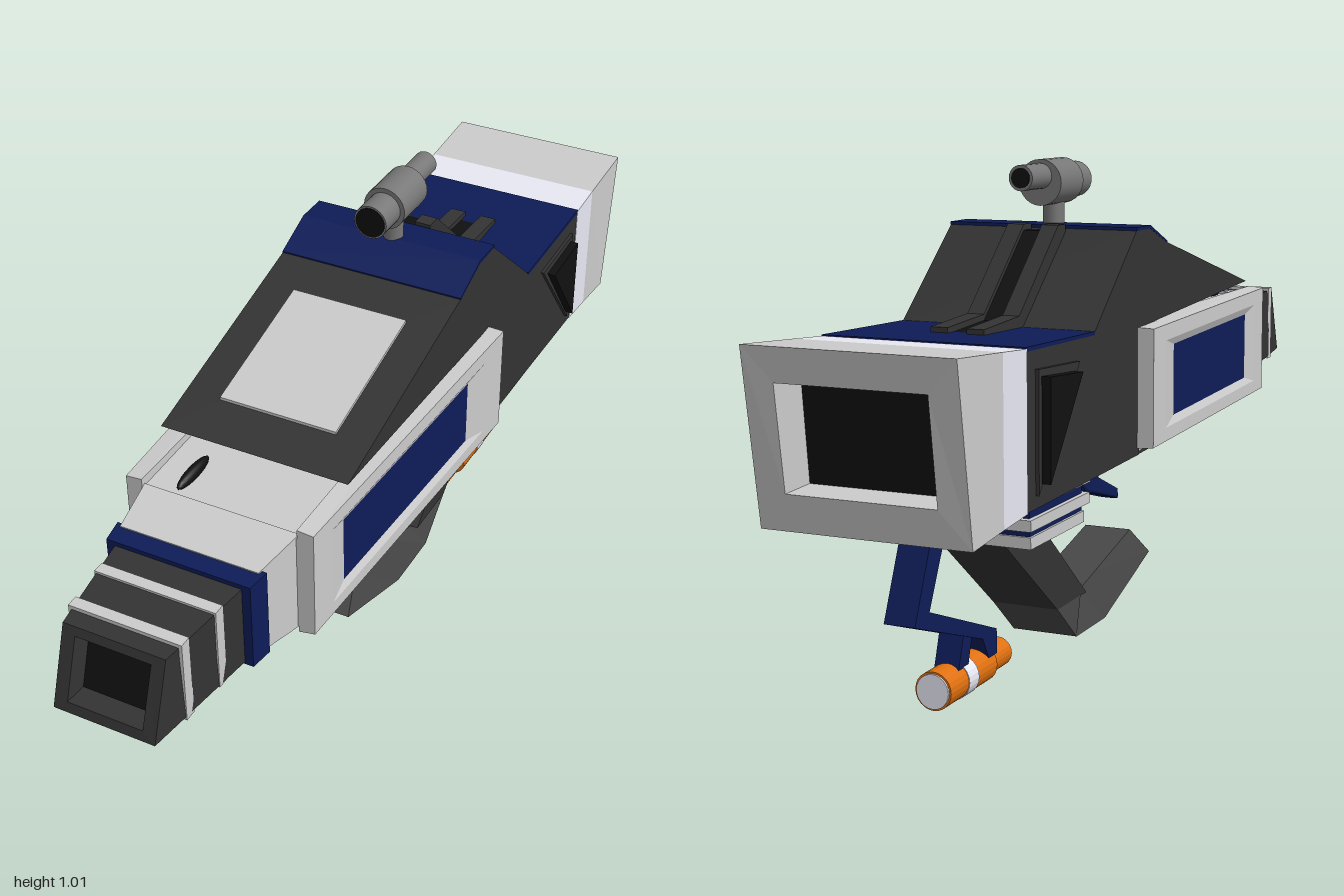
import * as THREE from 'three';

const material = (color) => new THREE.MeshStandardMaterial({ color, flatShading: true });
const LIGHT = material(0xcccccc), WHITE = material(0xe8e8f4), DARK = material(0x333333);
const MID = material(0x484848), BLACK = material(0x101010), BLUE = material(0x0e1c58);
const ORANGE = material(0xe0700f);
const STEEL = new THREE.MeshStandardMaterial({ color: 0x777777 });
const BORE = new THREE.MeshStandardMaterial({ color: 0x101010 });

export function createModel() {
  const model = new THREE.Group();
  const add = (name, geometry, mat) => {
    const mesh = new THREE.Mesh(geometry, mat);
    mesh.name = name;
    model.add(mesh);
    return mesh;
  };

  // Side profile of [z, y] points, extruded across x from -hw to hw
  const prism = (name, points, hw, mat) => {
    const shape = new THREE.Shape(points.map(([z, y]) => new THREE.Vector2(z, y)));
    const geometry = new THREE.ExtrudeGeometry(shape, { depth: hw * 2, bevelEnabled: false });
    geometry.rotateY(-Math.PI / 2).translate(hw, 0, 0);
    return add(name, geometry, mat);
  };

  // Box given by its limits
  const box = (name, hw, y0, y1, z0, z1, mat) => {
    const mesh = add(name, new THREE.BoxGeometry(hw * 2, y1 - y0, z1 - z0), mat);
    mesh.position.set(0, (y0 + y1) / 2, (z0 + z1) / 2);
    return mesh;
  };

  // Four-cornered rings joined in order; the ends may be capped
  const loft = (name, rings, mat, capStart = true, capEnd = true) => {
    const p = [];
    const quad = (a, b, c, d) => p.push(...a, ...b, ...c, ...a, ...c, ...d);
    for (let r = 0; r + 1 < rings.length; r++) {
      for (let i = 0; i < 4; i++) {
        const j = (i + 1) % 4;
        quad(rings[r][i], rings[r][j], rings[r + 1][j], rings[r + 1][i]);
      }
    }
    const last = rings[rings.length - 1];
    if (capStart) quad(...[...rings[0]].reverse());
    if (capEnd) quad(...last);
    const geometry = new THREE.BufferGeometry();
    geometry.setAttribute('position', new THREE.Float32BufferAttribute(p, 3));
    geometry.computeVertexNormals();
    return add(name, geometry, mat);
  };
  // Upright ring whose top and bottom edges may differ in z
  const ring = (hw, y0, y1, z0, z1 = z0) => [[-hw, y0, z0], [hw, y0, z0], [hw, y1, z1], [-hw, y1, z1]];
  // The same ring turned to face backward
  const back = (...args) => ring(...args).map(([x, y, z]) => [-x, y, z]);

  // Front body with a dark underside
  loft('frontBody', [ring(0.205, 0.42, 0.68, -0.22), ring(0.2, 0.44, 0.657, 0.58)], LIGHT);
  prism('bellyPlate', [[-0.22, 0.411], [0.56, 0.432], [0.56, 0.445], [-0.22, 0.43]], 0.2, DARK);

  // Flared side panels with bevelled frames and inset plates
  const flare = (z) => 0.243 - (z + 0.22) * 0.047;
  for (const side of [1, -1]) {
    const name = side > 0 ? 'left' : 'right';
    const panel = (z0, z1, y0, y1, depth) => {
      const corners = [[z1, y0], [z0, y0], [z0, y1], [z1, y1]]
        .map(([z, y]) => [side * (depth === null ? 0.17 : flare(z) - depth), y, z]);
      return side > 0 ? corners : corners.reverse();
    };
    const rim = panel(-0.22, 0.58, 0.432, 0.675, 0);
    const lip = panel(-0.14, 0.51, 0.46, 0.642, 0);
    const inset = panel(-0.07, 0.455, 0.475, 0.625, 0.008);
    loft(name + 'PanelFrame', [panel(-0.22, 0.58, 0.425, 0.678, null), rim, lip, inset], LIGHT, true, false);
    loft(name + 'PanelPlate', [inset], BLUE, false, true);
  }

  // Tapered muzzle: collar, bands and a slanted open mouth
  loft('muzzleCollar', [ring(0.17, 0.435, 0.662, 0.57), ring(0.15, 0.455, 0.65, 0.69)], LIGHT);
  loft('muzzleBlueBand', [ring(0.162, 0.452, 0.648, 0.68), ring(0.155, 0.452, 0.646, 0.73)], BLUE);
  const mouth = ring(0.08, 0.488, 0.612, 0.994, 0.951);
  const mouthFloor = ring(0.075, 0.49, 0.61, 0.95, 0.91);
  loft('muzzle', [ring(0.138, 0.457, 0.637, 0.72), ring(0.108, 0.468, 0.63, 1, 0.945), mouth, mouthFloor],
    DARK, true, false);
  loft('muzzleBore', [mouthFloor], BLACK, false, true);
  for (const z of [0.785, 0.885]) {
    const hw = 0.136 - (z - 0.72) * 0.1;
    box('muzzleBand', hw, 0.457, 0.639, z, z + 0.025, LIGHT);
  }

  // Canopy and rear hull
  prism('hull', [[0.445, 0.705], [-0.06, 0.835], [-0.155, 0.873], [-0.225, 0.873], [-0.44, 0.69],
    [-0.74, 0.7], [-0.74, 0.405], [-0.21, 0.415], [-0.21, 0.675]], 0.208, DARK);
  prism('crestStripe', [[-0.06, 0.834], [-0.06, 0.838], [-0.155, 0.877], [-0.228, 0.877], [-0.228, 0.87],
    [-0.155, 0.87]], 0.2085, BLUE);
  prism('rearDeck', [[-0.437, 0.688], [-0.437, 0.695], [-0.738, 0.704], [-0.738, 0.696]], 0.2085, BLUE);
  prism('canopyPanel', [[0.345, 0.728], [0.345, 0.737], [0.035, 0.817], [0.035, 0.807]], 0.13, LIGHT);
  prism('sideVentFrame', [[-0.52, 0.65], [-0.7, 0.66], [-0.7, 0.43]], 0.215, DARK);
  prism('sideVent', [[-0.545, 0.635], [-0.688, 0.646], [-0.688, 0.45]], 0.233, BLACK);

  // Strap running down the rear slope, two rails with a dark groove
  const strap = (name, lift, hw, x, mat) => {
    const mesh = prism(name, [[-0.235, 0.84], [-0.235, 0.862 + lift], [-0.27, 0.862 + lift],
      [-0.45, 0.7 + lift], [-0.6, 0.692 + lift], [-0.6, 0.68], [-0.44, 0.68]], hw, mat);
    mesh.position.x = x;
  };
  strap('strapGroove', 0.006, 0.03, 0, BLACK);
  for (const x of [-0.038, 0.038]) strap('strapRail', 0.018, 0.018, x, DARK);

  // Rear block with a recessed slanted opening
  loft('rearWhiteBand', [back(0.209, 0.404, 0.701, -0.735), back(0.209, 0.396, 0.708, -0.83)], WHITE);
  const vent = back(0.15, 0.455, 0.655, -0.962, -0.99);
  const ventFloor = back(0.145, 0.46, 0.65, -0.89, -0.91);
  loft('rearBlock', [back(0.209, 0.396, 0.708, -0.83), back(0.21, 0.385, 0.72, -0.95, -1), vent, ventFloor],
    LIGHT, false, false);
  loft('rearOpening', [ventFloor], BLACK, false, true);

  // Small dome on the front deck
  const dome = add('deckDome', new THREE.SphereGeometry(1, 20, 12), BORE);
  dome.scale.set(0.012, 0.014, 0.058);
  dome.position.set(-0.1, 0.668, 0.505);

  // Box under the front body with dark windows
  box('underBox', 0.044, 0.345, 0.44, 0.24, 0.455, DARK);
  box('underBoxSideWindow', 0.046, 0.365, 0.412, 0.28, 0.415, BLACK);
  box('underBoxFrontWindow', 0.03, 0.362, 0.415, 0.3, 0.457, BLACK);

  // Trigger, curved toward the front
  const trigger = new THREE.Shape();
  trigger.moveTo(-0.01, 0.43);
  trigger.lineTo(-0.09, 0.43);
  trigger.lineTo(-0.085, 0.33);
  trigger.quadraticCurveTo(-0.08, 0.29, -0.03, 0.28);
  trigger.lineTo(0.12, 0.237);
  trigger.lineTo(0.12, 0.262);
  trigger.lineTo(0.02, 0.305);
  trigger.quadraticCurveTo(-0.005, 0.315, -0.01, 0.35);
  const triggerGeometry = new THREE.ExtrudeGeometry(trigger,
    { depth: 0.034, bevelEnabled: true, bevelSize: 0.006, bevelThickness: 0.008, bevelSegments: 2, bevelOffset: -0.006 });
  triggerGeometry.rotateY(-Math.PI / 2).translate(0.017, 0, 0);
  add('trigger', triggerGeometry, BLUE);

  // Layered grip mount
  const layers = [[0.157, 0.38, 0.42, -0.63, -0.34, LIGHT], [0.147, 0.36, 0.38, -0.6, -0.36, BLUE],
    [0.157, 0.338, 0.36, -0.615, -0.345, LIGHT], [0.147, 0.325, 0.338, -0.6, -0.36, BLUE],
    [0.152, 0.302, 0.325, -0.605, -0.36, LIGHT]];
  for (const layer of layers) box('gripMountLayer', ...layer);

  // Grip: straight upper arm, then a foot with sloping sides
  prism('gripArm', [[-0.41, 0.31], [-0.58, 0.31], [-0.315, 0.1], [-0.17, 0.1]], 0.073, DARK);
  prism('gripInlay', [[-0.4, 0.305], [-0.43, 0.305], [-0.2, 0.1], [-0.165, 0.1]], 0.05, BLACK);
  const section = (z0, y0, z1, y1) => [[-0.073, y0, z0], [0.073, y0, z0], [0.054, y1, z1], [-0.054, y1, z1]];
  loft('gripFoot', [
    [[-0.073, 0.1, -0.315], [0.073, 0.1, -0.315], [0.073, 0.101, -0.2], [-0.073, 0.101, -0.2]],
    section(-0.22, 0.017, -0.17, 0.1), section(-0.07, 0.017, -0.08, 0.122),
    section(0.185, 0.105, 0.115, 0.17)], MID);

  // Bent rear strut
  prism('strut', [[-0.68, 0.42], [-0.74, 0.42], [-0.835, 0.2], [-0.57, 0.105], [-0.545, 0.06], [-0.51, 0.06],
    [-0.51, 0.11], [-0.78, 0.215]], 0.032, BLUE);
  prism('strutBrace', [[-0.6, 0.13], [-0.635, 0.14], [-0.66, 0.065], [-0.62, 0.065]], 0.026, BLUE);

  // Round parts lying along z
  const rod = (name, radius, y, z0, z1, mat, sides = 24) => {
    const geometry = new THREE.CylinderGeometry(radius, radius, z1 - z0, sides);
    geometry.rotateX(Math.PI / 2).translate(0, y, (z0 + z1) / 2);
    return add(name, geometry, mat);
  };
  rod('canisterNeck', 0.03, 0.04, -0.53, -0.44, ORANGE);
  rod('canister', 0.038, 0.04, -0.712, -0.52, ORANGE);
  rod('canisterBand', 0.0395, 0.04, -0.64, -0.6, WHITE);
  rod('canisterRearCap', 0.034, 0.04, -0.716, -0.7, WHITE);
  rod('canisterFrontCap', 0.026, 0.04, -0.45, -0.437, WHITE);

  // Sight on its post
  const post = add('sightPost', new THREE.CylinderGeometry(0.022, 0.022, 0.08, 20), STEEL);
  post.position.set(0, 0.905, -0.17);
  rod('sightBody', 0.047, 0.962, -0.235, -0.125, STEEL, 28);
  rod('sightFront', 0.037, 0.962, -0.13, -0.06, STEEL, 28);
  rod('sightRear', 0.026, 0.975, -0.325, -0.23, STEEL, 24);
  rod('sightLens', 0.033, 0.962, -0.07, -0.058, BORE, 28);
  rod('sightEyepiece', 0.02, 0.975, -0.327, -0.31, BORE, 24);

  return model;
}
